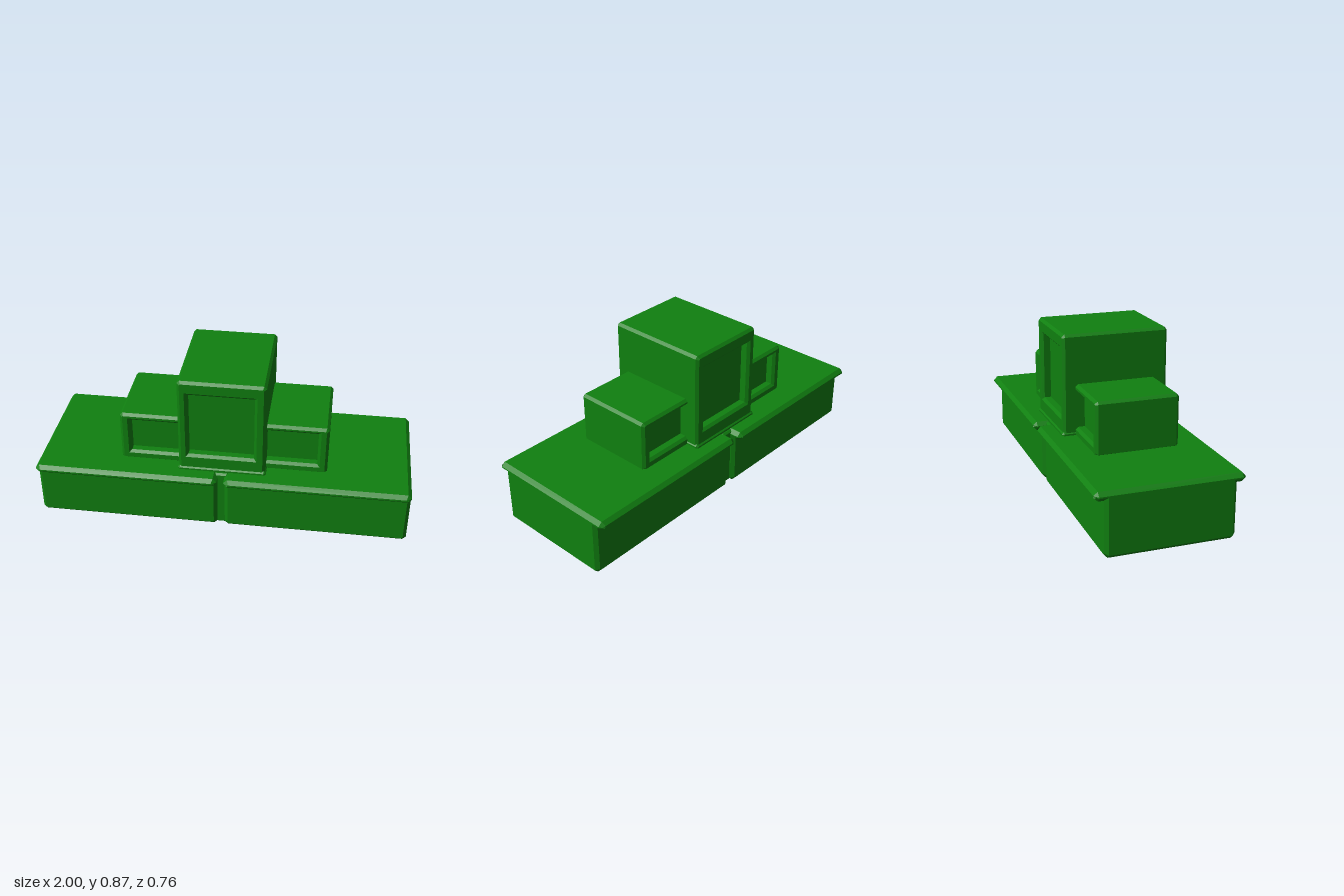
import * as THREE from 'three';

const material = new THREE.MeshStandardMaterial({ color: 0x108010 });

function rectPath(path, x0, x1, y0, y1, c) {
  path.moveTo(x0 + c, y0);
  path.lineTo(x1 - c, y0);
  path.lineTo(x1, y0 + c);
  path.lineTo(x1, y1 - c);
  path.lineTo(x1 - c, y1);
  path.lineTo(x0 + c, y1);
  path.lineTo(x0, y1 - c);
  path.lineTo(x0, y0 + c);
  path.closePath();
  return path;
}

// Chamfered block, centred on z, optionally with a rectangular hole along z
function block(name, [x0, x1], [y0, y1], depth, c, hole) {
  const shape = rectPath(new THREE.Shape(), x0, x1, y0, y1, c);
  if (hole) {
    const [a, b, d, e] = hole;
    const path = new THREE.Path();
    path.moveTo(a, d);
    path.lineTo(a, e);
    path.lineTo(b, e);
    path.lineTo(b, d);
    path.closePath();
    shape.holes.push(path);
  }
  const geometry = new THREE.ExtrudeGeometry(shape, {
    depth: depth - 2 * c, bevelEnabled: true, bevelSegments: 1,
    bevelSize: c, bevelThickness: c, bevelOffset: -c,
  });
  geometry.translate(0, 0, c - depth / 2);
  const mesh = new THREE.Mesh(geometry, material);
  mesh.name = name;
  return mesh;
}

// Frame with a shallow recess in its front and back
function recessedBox(name, xs, ys, depth, hole, recess) {
  const group = new THREE.Group();
  group.name = name;
  group.add(block(name + 'Frame', xs, ys, depth, 0.014, hole));
  const [a, b, d, e] = hole;
  const panel = new THREE.Mesh(
    new THREE.BoxGeometry(b - a + 0.02, e - d + 0.02, depth - 2 * recess), material);
  panel.position.set((a + b) / 2, (d + e) / 2, 0);
  panel.name = name + 'Panel';
  group.add(panel);
  return group;
}

const span = (side, a, b) => (side > 0 ? [a, b] : [-b, -a]);

export function createModel() {
  const model = new THREE.Group();
  model.name = 'steppedBlockStand';

  for (const side of [1, -1]) {
    const label = side > 0 ? 'left' : 'right';
    // Base half with an overhanging top slab
    model.add(block(label + 'Base', span(side, 0.02, 1), [0, 0.325], 0.664, 0.018));
    model.add(block(label + 'Slab', span(side, 0.018, 1), [0.286, 0.333], 0.76, 0.02));
    // Low side box
    const top = side > 0 ? 0.605 : 0.608;
    model.add(recessedBox(label + 'Box', span(side, 0.17, 0.555), [0.32, top], 0.444,
      [...span(side, 0.22, 0.5), 0.375, 0.568], 0.05));
  }

  // Core joining the two base halves behind the slot
  model.add(block('baseCore', [-0.04, 0.04], [0.004, 0.331], 0.62, 0.01));

  // Central tower with a slightly flared foot
  model.add(recessedBox('tower', [-0.23, 0.23], [0.32, 0.872], 0.576,
    [-0.178, 0.17, 0.425, 0.792], 0.05));
  model.add(block('towerFoot', [-0.235, 0.235], [0.32, 0.352], 0.59, 0.01));

  return model;
}
